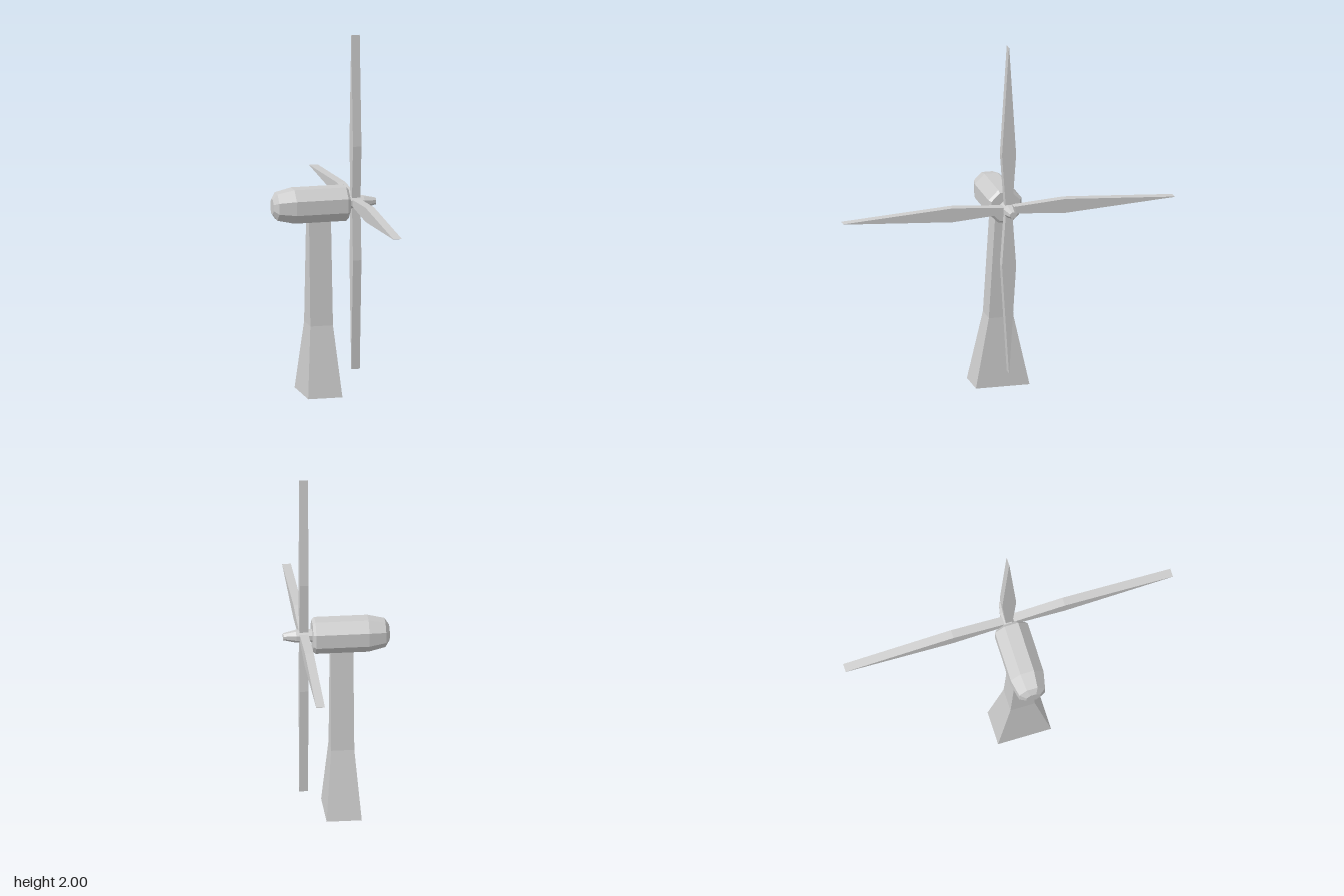
import * as THREE from 'three';

const paint = new THREE.MeshStandardMaterial({ color: 0xcccccc, flatShading: true });
paint.name = 'light grey';

const AXIS_Y = 1.06; // height of the rotor axis

function part(name, geometry, parent) {
  const mesh = new THREE.Mesh(geometry, paint);
  mesh.name = name;
  parent.add(mesh);
  return mesh;
}

// Eight-sided body along x from [x, apothem] pairs, flat side up
function octagonBody(profile) {
  const k = 1 / Math.cos(Math.PI / 8);
  const points = profile.map(([x, r]) => new THREE.Vector2(r * k, x));
  return new THREE.LatheGeometry(points, 8, Math.PI / 8).rotateZ(-Math.PI / 2).toNonIndexed();
}

// Four-sided tower: each level gives half-width, half-depth and height
function towerGeometry() {
  const levels = [[0.097, 0.152, 0], [0.064, 0.07, 0.39], [0.062, 0.032, 1.0]];
  const geometry = new THREE.BoxGeometry(2, 2, 2, 1, 2, 1);
  const p = geometry.attributes.position;
  for (let i = 0; i < p.count; i++) {
    const [w, d, y] = levels[Math.round(p.getY(i)) + 1];
    p.setXYZ(i, p.getX(i) * w, y, p.getZ(i) * d);
  }
  geometry.computeVertexNormals();
  return geometry;
}

// Pointed blade, widest a third of the way out, extruded along x
function bladeGeometry() {
  const shape = new THREE.Shape([
    [-0.017, 0], [0.017, 0], [0.04, 0.32], [0.001, 0.94], [-0.001, 0.94], [-0.04, 0.32],
  ].map(([x, y]) => new THREE.Vector2(x, y)));
  return new THREE.ExtrudeGeometry(shape, { depth: 0.048, bevelEnabled: false })
    .rotateY(Math.PI / 2).translate(0.153, 0, 0);
}

export function createModel() {
  const model = new THREE.Group();
  model.name = 'windTurbine';

  part('tower', towerGeometry(), model).position.x = -0.032;

  // Housing with chamfered ends
  part('nacelle', octagonBody([
    [-0.295, 0], [-0.295, 0.04], [-0.272, 0.074], [-0.178, 0.094],
    [0.115, 0.094], [0.13, 0.081], [0.13, 0],
  ]), model).position.y = AXIS_Y;

  // Rotor: hub and four blades
  const rotor = new THREE.Group();
  rotor.name = 'rotor';
  rotor.position.y = AXIS_Y;
  model.add(rotor);
  part('hub', octagonBody([
    [0.12, 0.033], [0.22, 0.033], [0.29, 0.018], [0.29, 0],
  ]), rotor);
  const blade = bladeGeometry();
  for (let i = 0; i < 4; i++) part('blade' + (i + 1), blade, rotor).rotation.x = i * Math.PI / 2;

  return model;
}
